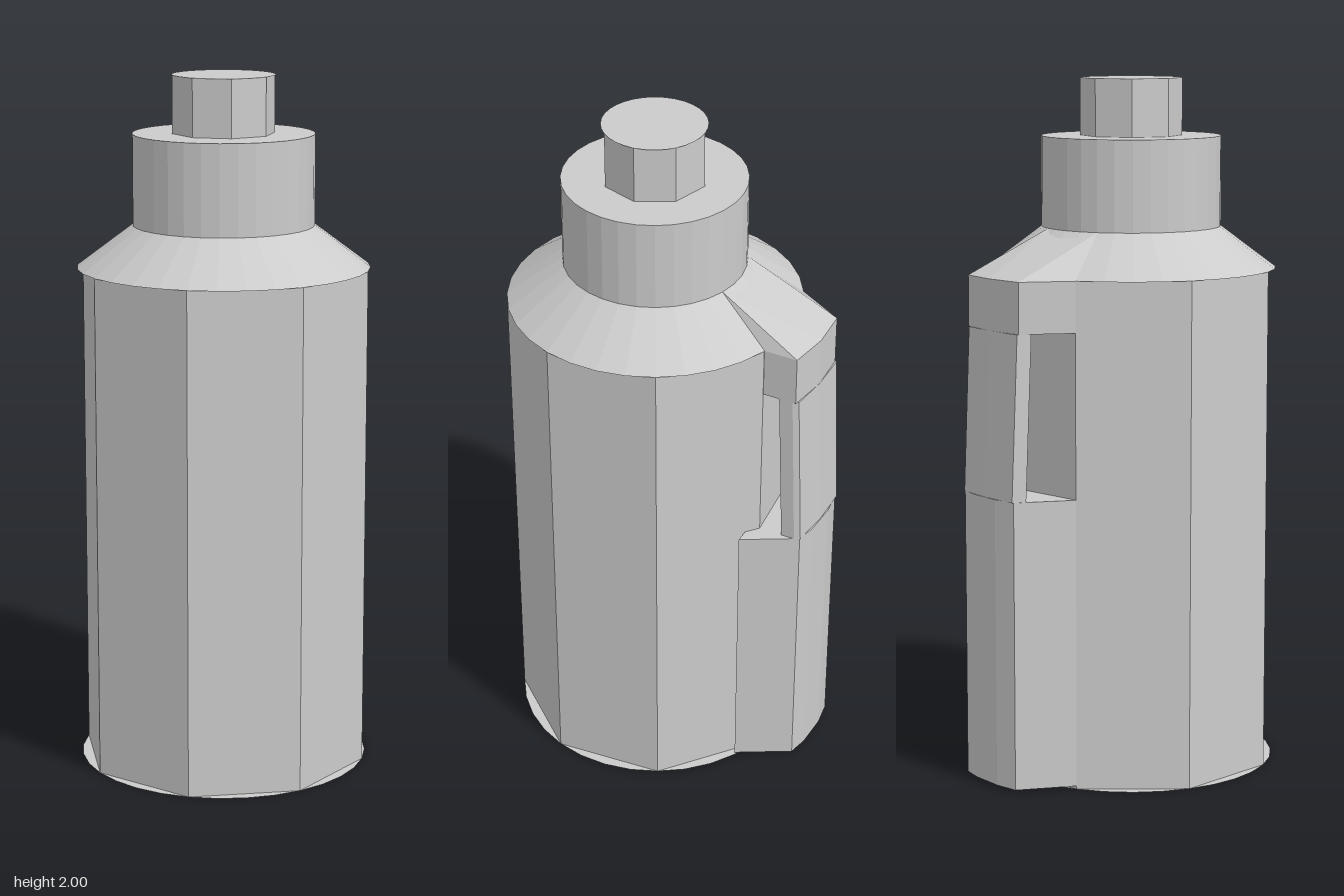
import * as THREE from 'three';
import { ConvexGeometry } from 'three/addons/geometries/ConvexGeometry.js';

const AXIS_Z = 0.06; // the round parts share this axis, the handle sits behind it

export function createModel() {
  const model = new THREE.Group();
  model.name = 'bottle';
  const material = new THREE.MeshStandardMaterial({
    color: 0xcccccc, flatShading: true, side: THREE.DoubleSide,
  });

  const add = (name, geometry) => {
    const mesh = new THREE.Mesh(geometry, material);
    mesh.name = name;
    model.add(mesh);
    return mesh;
  };

  // Upright faceted ring or cone section between two heights
  const drum = (name, rTop, rBottom, y0, y1, sides, open, turn = 0) =>
    add(name, new THREE.CylinderGeometry(rTop, rBottom, y1 - y0, sides, 1, open, turn))
      .position.set(0, (y0 + y1) / 2, AXIS_Z);

  // Round flat disc closing an eight-sided wall
  const disc = (name, radius, y, facing) => {
    const mesh = add(name, new THREE.CircleGeometry(radius, 32));
    mesh.rotation.x = -facing * Math.PI / 2;
    mesh.position.set(0, y, AXIS_Z);
  };

  // Solid spanned by horizontal outlines: [height, [[x, z], ...]]
  const solid = (name, ...outlines) =>
    add(name, new ConvexGeometry(outlines.flatMap(([y, points]) =>
      points.map(([x, z]) => new THREE.Vector3(x, y, z)))));

  // Bottle: eight-sided walls, round shoulder, neck and end discs
  disc('base', 0.42, 0, -1);
  drum('body', 0.42, 0.42, 0, 1.455, 8, true, -Math.PI / 16);
  drum('shoulder', 0.26, 0.42, 1.455, 1.575, 32, false);
  drum('neck', 0.26, 0.26, 1.575, 1.835, 32, false);
  drum('capWall', 0.147, 0.147, 1.835, 2, 8, true, Math.PI / 16);
  disc('capTop', 0.147, 2, 1);

  // Handle: block below the opening
  const lower = [[-0.235, -0.29], [-0.17, -0.455], [-0.1, -0.473], [0, -0.48],
    [0.06, -0.473], [0.07, -0.455], [0.16, -0.33]];
  solid('handleBase', [0.01, lower], [0.84, lower]);

  // Handle: grip leaning slightly inwards
  const grip = (inner, outer) => [[-0.18, inner], [-0.17, outer + 0.015],
    [-0.05, outer], [0.06, outer], [0.07, outer + 0.015], [0.075, inner]];
  solid('handleGrip', [0.84, grip(-0.42, -0.475)], [1.31, grip(-0.4, -0.455)]);

  // Handle: bridge above the opening, with a ramp rising to the neck
  const upper = [[-0.235, -0.29], [-0.17, -0.435], [-0.05, -0.455],
    [0.07, -0.45], [0.08, -0.35]];
  solid('handleBridge', [1.31, upper], [1.455, upper]);
  solid('handleRamp', [1.455, upper], [1.575, [[-0.145, -0.155], [0.05, -0.195]]]);

  return model;
}
